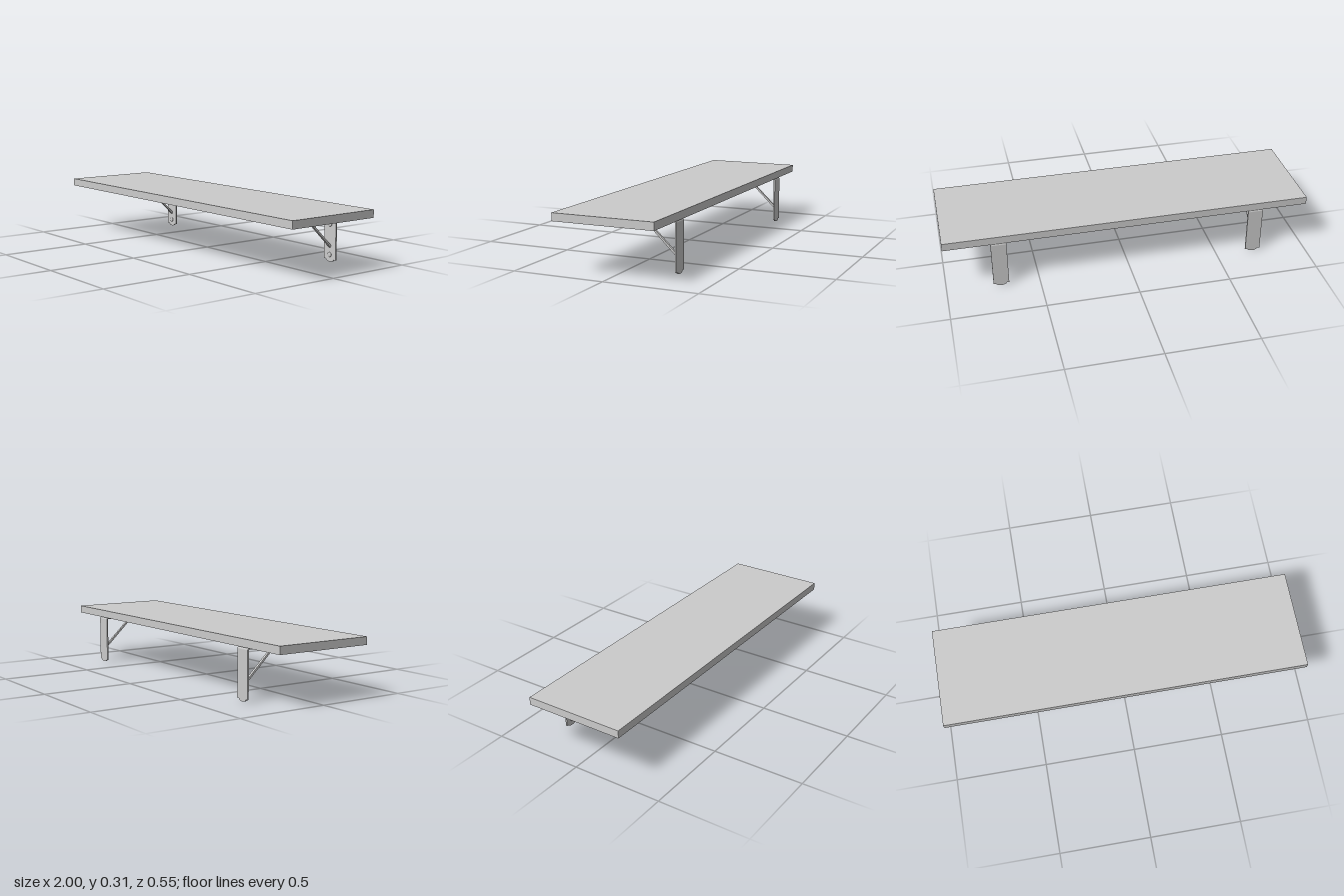
import * as THREE from 'three';

const material = new THREE.MeshStandardMaterial({ color: 0xcccccc });
const HALF_W = 0.042, THICK = 0.008, OUTER = 0.012;
const BEND_Z = -0.261, BEND_Y = 0.259;

function part(name, geometry, parent) {
  const mesh = new THREE.Mesh(geometry, material);
  mesh.name = name;
  parent.add(mesh);
  return mesh;
}

// Flat strap running along -y, with a rounded tab at its end
function strapGeometry(length) {
  const shoulder = -(length - 0.013);
  const s = new THREE.Shape();
  s.moveTo(-HALF_W, 0);
  s.lineTo(-HALF_W, shoulder);
  s.lineTo(-0.028, shoulder);
  s.absellipse(0, shoulder, 0.028, 0.013, Math.PI, Math.PI * 2, false);
  s.lineTo(HALF_W, shoulder);
  s.lineTo(HALF_W, 0);
  return new THREE.ExtrudeGeometry(s, { depth: THICK, bevelEnabled: false, curveSegments: 12 });
}

// Side profile drawn in (z, y), extruded across x and centred
function sideExtrude(shape, width) {
  return new THREE.ExtrudeGeometry(shape, { depth: width, bevelEnabled: false, curveSegments: 8 })
    .translate(0, 0, -width / 2)
    .rotateY(-Math.PI / 2);
}

// Shallow domed screw head pointing up +y
function screwGeometry(height) {
  const profile = [[0.0125, 0], [0.0125, height * 0.6], [0.009, height * 0.9], [0, height]];
  return new THREE.LatheGeometry(profile.map(([r, y]) => new THREE.Vector2(r, y)), 20);
}

function createBracket(x) {
  const bracket = new THREE.Group();
  bracket.name = x > 0 ? 'leftBracket' : 'rightBracket';
  bracket.position.x = x;

  // Wall leg and shelf leg
  part('wallLeg', strapGeometry(BEND_Y), bracket).position.set(0, BEND_Y, BEND_Z - OUTER);
  const shelfLeg = part('shelfLeg', strapGeometry(0.373), bracket);
  shelfLeg.rotation.x = -Math.PI / 2;
  shelfLeg.position.set(0, BEND_Y + OUTER - THICK, BEND_Z);

  // Rounded bend joining the legs
  const bend = new THREE.Shape();
  bend.absarc(BEND_Z, BEND_Y, OUTER, Math.PI / 2, Math.PI, false);
  bend.absarc(BEND_Z, BEND_Y, OUTER - THICK, Math.PI, Math.PI / 2, true);
  part('bend', sideExtrude(bend, HALF_W * 2), bracket);

  // Diagonal brace, cut flush against both legs
  const brace = new THREE.Shape([
    [-0.068, 0.264], [-0.082, 0.264], [-0.266, 0.090], [-0.266, 0.075],
  ].map(([z, y]) => new THREE.Vector2(z, y)));
  part('brace', sideExtrude(brace, 0.014), bracket);

  // Screw heads on the wall leg
  for (const y of [0.038, 0.201]) {
    const screw = part('wallScrew', screwGeometry(0.004), bracket);
    screw.rotation.x = Math.PI / 2;
    screw.position.set(0, y, BEND_Z - OUTER + THICK);
  }
  // Screw heads under the shelf leg
  for (const [z, height] of [[0.092, 0.006], [-0.158, 0.004]]) {
    const screw = part('shelfScrew', screwGeometry(height), bracket);
    screw.rotation.x = Math.PI;
    screw.position.set(0, BEND_Y + OUTER - THICK, z);
  }
  return bracket;
}

export function createModel() {
  const model = new THREE.Group();
  model.name = 'wallShelf';
  // Shelf board
  part('board', new THREE.BoxGeometry(2, 0.042, 0.55), model).position.y = 0.292;
  // Pair of brackets
  for (const side of [-1, 1]) model.add(createBracket(side * 0.708));
  return model;
}
